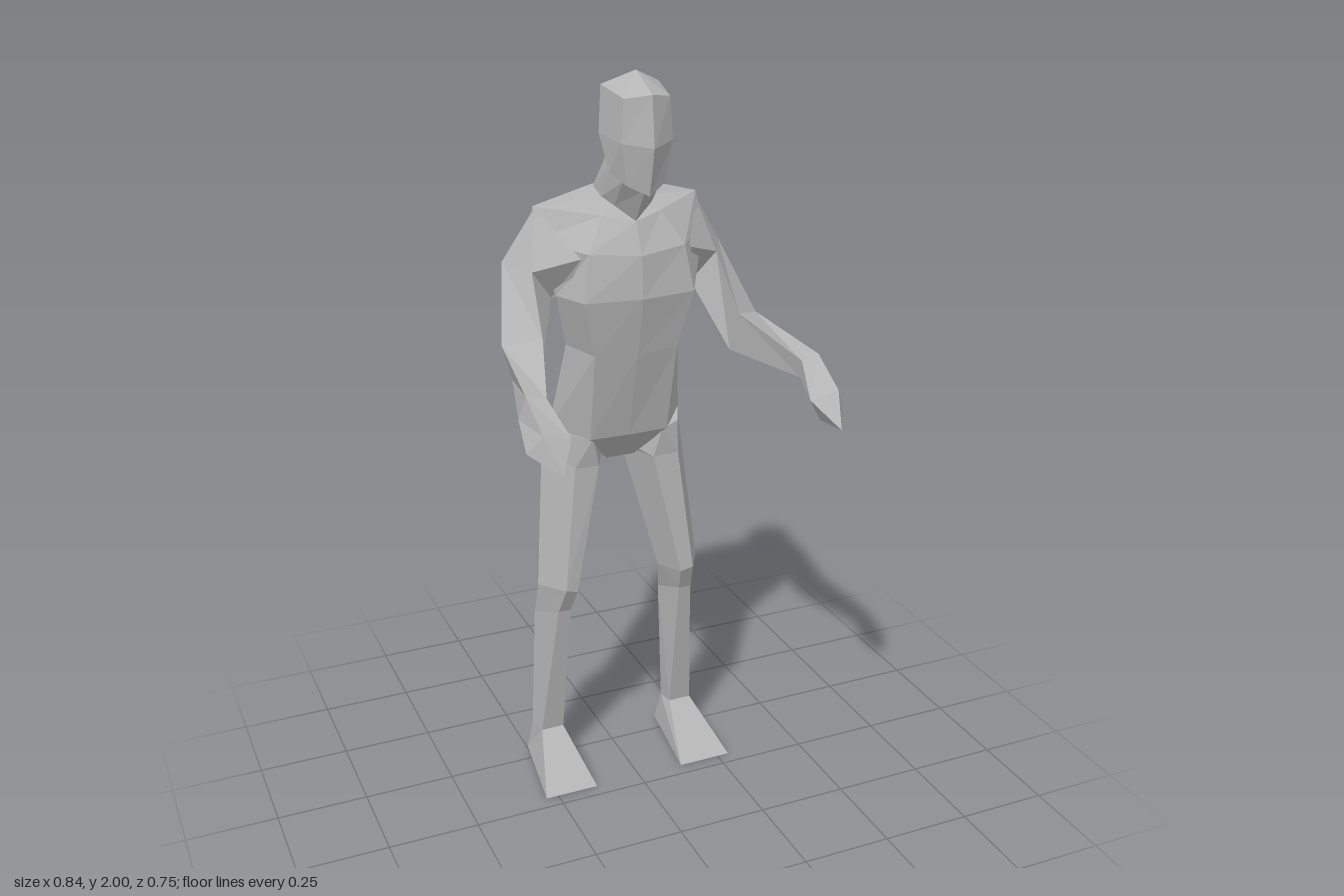
import * as THREE from 'three';

const grey = new THREE.MeshStandardMaterial({ color: 0xb4b4b4, flatShading: true });
grey.name = 'plain grey';

// Faceted closed solid through rings of [x, y, z] points; ends are fanned shut.
function loft(name, rings) {
  const tris = [];
  const n = rings[0].length;
  for (let r = 0; r < rings.length - 1; r++) {
    for (let i = 0; i < n; i++) {
      const j = (i + 1) % n;
      const a = rings[r][i], b = rings[r][j], c = rings[r + 1][j], d = rings[r + 1][i];
      tris.push([a, b, c], [a, c, d]);
    }
  }
  const cap = (ring, flip) => {
    const mid = [0, 1, 2].map(k => ring.reduce((s, p) => s + p[k], 0) / n);
    for (let i = 0; i < n; i++) {
      const a = ring[i], b = ring[(i + 1) % n];
      tris.push(flip ? [mid, b, a] : [mid, a, b]);
    }
  };
  cap(rings[0], true);
  cap(rings[rings.length - 1], false);
  // Face outwards: the enclosed volume must be positive
  const v = p => new THREE.Vector3(...p);
  let volume = 0;
  for (const [a, b, c] of tris) volume += v(a).dot(v(b).cross(v(c)));
  const solid = tris.filter(([a, b, c]) => v(b).sub(v(a)).cross(v(c).sub(v(a))).length() > 1e-9);
  const points = solid.flatMap(t => (volume < 0 ? [t[0], t[2], t[1]] : t)).flat();
  const geo = new THREE.BufferGeometry();
  geo.setAttribute('position', new THREE.Float32BufferAttribute(points, 3));
  geo.computeVertexNormals();
  const mesh = new THREE.Mesh(geo, grey);
  mesh.name = name;
  return mesh;
}

const flipX = ([x, y, z]) => [-x, y, z];
// Half ring (front centre to back centre) completed by its mirror image
const whole = half => [...half, ...half.slice(1, -1).reverse().map(flipX)];
const point = (p, n) => Array(n).fill(p);

export function createModel() {
  const figure = new THREE.Group();
  figure.name = 'figure';

  // Torso, crotch to shoulder line
  const neckLine = [[0, 1.63, -0.055], [0.08, 1.645, -0.085], [0.225, 1.66, -0.19], [0.075, 1.70, -0.19], [0, 1.715, -0.188]];
  figure.add(loft('torso', [
    [[0, 0.955, -0.17], [0.04, 0.955, -0.17], [0.05, 0.96, -0.22], [0.04, 0.96, -0.3], [0, 0.96, -0.31]],
    [[0, 1.04, -0.105], [0.11, 1.04, -0.108], [0.19, 1.05, -0.21], [0.11, 1.06, -0.345], [0, 1.045, -0.375]],
    [[0, 1.28, -0.045], [0.115, 1.29, -0.055], [0.158, 1.3, -0.15], [0.11, 1.28, -0.265], [0, 1.27, -0.277]],
    [[0, 1.44, -0.01], [0.15, 1.44, -0.03], [0.19, 1.44, -0.13], [0.15, 1.42, -0.27], [0, 1.41, -0.285]],
    [[0, 1.55, -0.018], [0.13, 1.56, -0.045], [0.235, 1.58, -0.16], [0.2, 1.61, -0.283], [0, 1.61, -0.296]],
    neckLine,
  ].map(whole)));

  // Neck, leaning forward
  figure.add(loft('neck', [
    [[0, 1.63, -0.057], [0.05, 1.67, -0.075], [0.075, 1.69, -0.1], [0.065, 1.70, -0.18], [0, 1.715, -0.187]],
    [[0, 1.72, 0.0], [0.05, 1.74, -0.02], [0.068, 1.77, -0.06], [0.05, 1.80, -0.115], [0, 1.80, -0.122]],
  ].map(whole)));

  // Head, chin to crown
  figure.add(loft('head', [
    [[0, 1.71, 0.03], [0.05, 1.735, 0.005], [0.075, 1.76, -0.045], [0.05, 1.785, -0.105], [0, 1.79, -0.12]],
    [[0, 1.83, 0.058], [0.068, 1.84, 0.014], [0.084, 1.85, -0.09], [0.055, 1.845, -0.135], [0, 1.84, -0.15]],
    [[0, 1.955, 0.045], [0.06, 1.945, 0.013], [0.076, 1.965, -0.095], [0.045, 1.96, -0.14], [0, 1.955, -0.157]],
    point([0, 2, -0.055], 5),
  ].map(whole)));

  // Arm: outer, front, lower and back corner of each section
  const arm = [
    [[0.22, 1.655, -0.19], [0.15, 1.55, -0.05], [0.17, 1.44, -0.12], [0.19, 1.6, -0.28]],
    [[0.303, 1.52, -0.212], [0.255, 1.51, -0.12], [0.195, 1.43, -0.15], [0.235, 1.45, -0.272]],
    [[0.355, 1.345, -0.08], [0.27, 1.37, -0.01], [0.265, 1.26, -0.05], [0.32, 1.24, -0.11]],
    [[0.39, 1.31, 0.2], [0.34, 1.3, 0.205], [0.345, 1.25, 0.19], [0.405, 1.25, 0.185]],
  ];
  const hand = [
    arm[3],
    [[0.388, 1.25, 0.31], [0.315, 1.23, 0.3], [0.35, 1.17, 0.29], [0.42, 1.2, 0.28]],
    point([0.364, 1.17, 0.375], 4),
  ];

  // Leg: front inner, front outer, outer, back and inner corner of each section
  const leg = [
    [[0.1, 1.04, -0.112], [0.15, 1.05, -0.125], [0.188, 1.06, -0.21], [0.12, 1.055, -0.335], [0.03, 0.975, -0.22]],
    [[0.08, 0.955, -0.125], [0.15, 0.96, -0.12], [0.205, 0.98, -0.23], [0.14, 0.95, -0.34], [0.032, 0.955, -0.24]],
    [[0.155, 0.6, -0.105], [0.19, 0.61, -0.1], [0.24, 0.6, -0.19], [0.2, 0.58, -0.27], [0.122, 0.59, -0.19]],
    [[0.165, 0.53, -0.138], [0.2, 0.53, -0.138], [0.242, 0.5, -0.22], [0.2, 0.44, -0.32], [0.14, 0.5, -0.23]],
    [[0.17, 0.115, -0.208], [0.235, 0.115, -0.208], [0.246, 0.11, -0.26], [0.205, 0.12, -0.3], [0.165, 0.11, -0.26]],
  ];
  // Wedge foot, spread at the toes
  const foot = [
    leg[4],
    [[0.132, 0, -0.04], [0.285, 0, -0.04], [0.252, 0.012, -0.295], [0.205, 0.015, -0.31], [0.16, 0.012, -0.3]],
  ];

  for (const [side, place] of [['left', p => p], ['right', flipX]]) {
    for (const [part, rings] of [['Arm', arm], ['Hand', hand], ['Leg', leg], ['Foot', foot]]) {
      figure.add(loft(side + part, rings.map(ring => ring.map(place))));
    }
  }
  return figure;
}
